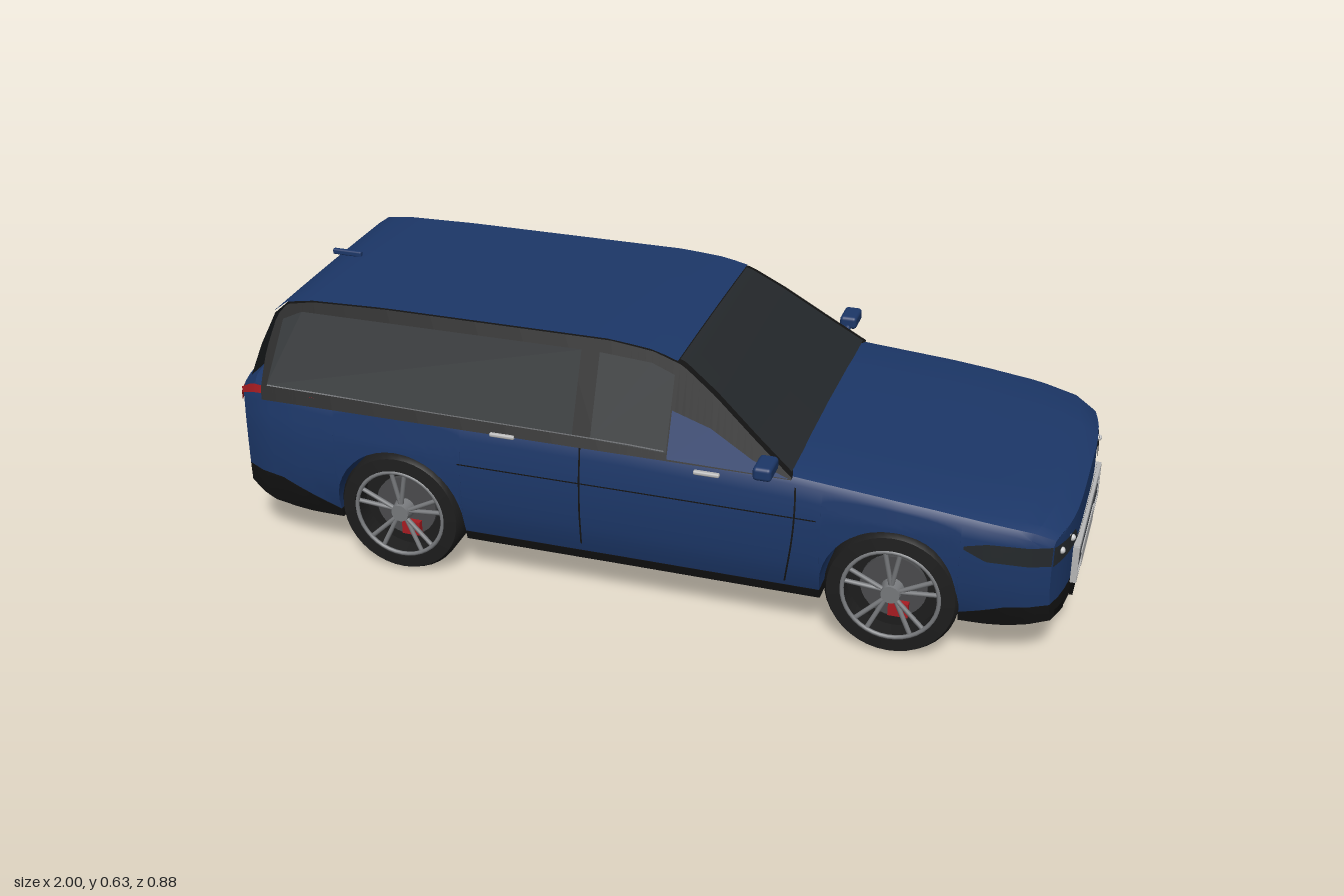
import * as THREE from 'three';
import { toCreasedNormals } from 'three/addons/utils/BufferGeometryUtils.js';
import { RoundedBoxGeometry } from 'three/addons/geometries/RoundedBoxGeometry.js';

const BLUE = 0x1c3768, BLACK = 0x131313, GLASS = 0x24282b, RUBBER = 0x1d1d1d,
  GREY = 0x77797c, SILVER = 0xb8b8b8, RED = 0xa81c22;

// piecewise linear curve through [x, value] pairs
const curve = (pts) => (x) => {
  if (x <= pts[0][0]) return pts[0][1];
  for (let i = 1; i < pts.length; i++) {
    const [a, b] = [pts[i - 1], pts[i]];
    if (x <= b[0]) return a[1] + (b[1] - a[1]) * (x - a[0]) / (b[0] - a[0]);
  }
  return pts[pts.length - 1][1];
};

// body rules along the length (nose towards +x)
const halfWidth = curve([[-0.985, 0.335], [-0.95, 0.355], [-0.85, 0.368], [-0.5, 0.376], [0, 0.376], [0.62, 0.379], [0.85, 0.37], [0.95, 0.352], [0.99, 0.33]]);
const deck = curve([[-0.985, 0.395], [-0.96, 0.422], [-0.92, 0.43], [0, 0.42], [0.1, 0.416], [0.39, 0.405], [0.6, 0.387], [0.85, 0.362], [0.95, 0.346], [0.99, 0.325]]);
const floorY = curve([[-0.985, 0.15], [-0.92, 0.112], [-0.8, 0.1], [0.9, 0.1], [0.99, 0.115]]);
const sillY = curve([[-0.985, 0.2], [-0.88, 0.19], [-0.705, 0.125], [0.78, 0.125], [0.9, 0.155], [0.99, 0.16]]);
const bulge = curve([[0.1, 0.93], [0.15, 0.975], [0.2, 0.995], [0.26, 1], [0.32, 0.995], [0.37, 0.975], [0.42, 0.955]]);
const roofY = curve([[-0.925, 0.42], [-0.905, 0.5], [-0.875, 0.58], [-0.85, 0.606], [-0.78, 0.617], [-0.6, 0.622], [-0.05, 0.622], [0.05, 0.612], [0.12, 0.592], [0.2, 0.54], [0.3, 0.465], [0.39, 0.4]]);
const cabinZ = (y) => 0.362 - (y - 0.41) * 0.42;
const sideZ = (x, y) => halfWidth(x) * bulge(y);
// round the ends in plan
const bend = (x, z) => x - Math.sign(x) * 0.05 * Math.min(1, Math.max(0, (Math.abs(x) - 0.7) / 0.28)) * (z / 0.36) ** 4;

const AXLES = [-0.545, 0.62], ARCH = 0.16, HUB = 0.15;
const lowerEdge = (x) => {
  const dx = AXLES.map((a) => Math.abs(x - a)).find((d) => d < ARCH);
  return dx === undefined ? sillY(x) : HUB + Math.sqrt(ARCH * ARCH - dx * dx);
};

const paint = (color) => new THREE.MeshStandardMaterial({ color, side: THREE.DoubleSide, roughness: 0.6 });
const add = (parent, name, geo, color, x = 0, y = 0, z = 0) => {
  const m = new THREE.Mesh(geo, paint(color));
  m.name = name;
  m.position.set(x, y, z);
  parent.add(m);
  return m;
};
const box = (w, h, d) => new THREE.BoxGeometry(w, h, d);
const rod = (a, b, r) => new THREE.TubeGeometry(new THREE.LineCurve3(new THREE.Vector3(...a), new THREE.Vector3(...b)), 1, r, 10);

// surface from fn(u, v) -> [x, y, z]
function grid(nu, nv, fn) {
  const pos = [], idx = [];
  for (let i = 0; i <= nu; i++) for (let j = 0; j <= nv; j++) pos.push(...fn(i / nu, j / nv, i, j));
  for (let i = 0; i < nu; i++) for (let j = 0; j < nv; j++) {
    const a = i * (nv + 1) + j, b = a + nv + 1;
    idx.push(a, a + 1, b, b, a + 1, b + 1);
  }
  const g = new THREE.BufferGeometry();
  g.setAttribute('position', new THREE.Float32BufferAttribute(pos, 3));
  g.setIndex(idx);
  return toCreasedNormals(g, 0.5);
}

// closed loft of mirrored half sections [[z, y], ...] along x, with curved end caps
function shell(parent, name, color, xs, section) {
  const group = new THREE.Group();
  group.name = name;
  parent.add(group);
  const rings = xs.map((x) => {
    const h = section(x);
    return [...h.map(([z, y]) => [bend(x, z), y, z]), ...h.slice(0, -1).reverse().map(([z, y]) => [bend(x, z), y, -z])];
  });
  add(group, name + 'Skin', grid(xs.length - 1, rings[0].length - 1, (u, v, i, j) => rings[i][j]), color);
  for (const x of [xs[0], xs[xs.length - 1]]) {
    const h = section(x);
    add(group, name + 'End', grid(h.length - 1, 16, (u, v, i) => {
      const z = h[i][0] * (2 * v - 1);
      return [bend(x, z), h[i][1], z];
    }), color);
  }
}
const range = (a, b, n) => Array.from({ length: n + 1 }, (_, i) => a + (b - a) * i / n);

// thin panel lying on the body side between two edge curves
const sidePanel = (parent, name, color, s, x0, x1, lo, hi, off = 0.004) =>
  add(parent, name, grid(16, 3, (u, v) => {
    const x = x0 + (x1 - x0) * u, y = lo(x) + (hi(x) - lo(x)) * v, z = sideZ(x, y);
    return [bend(x, z), y, s * (z + off)];
  }), color);
// thin panel lying on the nose (end = 0.99) or tail (end = -0.985)
const endPanel = (parent, name, color, end, z0, z1, lo, hi, off = 0.004) =>
  add(parent, name, grid(12, 2, (u, v) => {
    const z = z0 + (z1 - z0) * u;
    return [bend(end, z) + Math.sign(end) * off, lo(z) + (hi(z) - lo(z)) * v, z];
  }), color);
const flat = (c) => () => c;

function wheel(parent, x, s) {
  const g = new THREE.Group();
  g.name = 'wheel';
  g.position.set(x, HUB, s * 0.3);
  if (s < 0) g.rotation.y = Math.PI;
  parent.add(g);
  const lathe = (pts) => toCreasedNormals(new THREE.LatheGeometry(pts.map((p) => new THREE.Vector2(...p)), 40).rotateX(Math.PI / 2), 0.6);
  add(g, 'tyre', lathe([[0, -0.074], [0.142, -0.074], [0.15, -0.064], [0.15, 0.06], [0.143, 0.073], [0.113, 0.076], [0.109, 0.02], [0, 0.02]]), RUBBER);
  add(g, 'rimRing', new THREE.TorusGeometry(0.108, 0.005, 8, 40), GREY, 0, 0, 0.072);
  add(g, 'brakeDisc', new THREE.CylinderGeometry(0.075, 0.075, 0.01, 32).rotateX(Math.PI / 2), 0x4a4b4d, 0, 0, 0.03);
  add(g, 'caliper', box(0.045, 0.035, 0.022), RED, 0.015 * s, -0.05, 0.038);
  add(g, 'hub', new THREE.CylinderGeometry(0.021, 0.026, 0.03, 20).rotateX(Math.PI / 2), GREY, 0, 0, 0.058);
  for (let i = 0; i < 5; i++) for (const d of [-0.16, 0.16]) {
    const a = Math.PI / 2 + i * Math.PI * 0.4;
    add(g, 'spoke', rod([0.015 * Math.cos(a), 0.015 * Math.sin(a), 0.062], [0.107 * Math.cos(a + d), 0.107 * Math.sin(a + d), 0.068], 0.0055), GREY);
  }
}

export function createModel() {
  const car = new THREE.Group();
  car.name = 'estateCar';

  // painted body with wheel arches cut through
  const stations = [...range(-0.985, 0.99, 50)];
  for (const a of AXLES) {
    stations.push(a - ARCH - 0.0005, a + ARCH + 0.0005);
    for (const t of range(0, Math.PI, 20)) stations.push(a + (ARCH - 0.0001) * Math.cos(t));
  }
  stations.sort((a, b) => a - b);
  shell(car, 'body', BLUE, stations, (x) => {
    const low = lowerEdge(x), top = deck(x), ys = range(low, top - 0.02, 8), z = sideZ(x, top - 0.02);
    return [[0, low], ...ys.map((y) => [sideZ(x, y), y]), [z * 0.975, top - 0.006], [z * 0.9, top], [z * 0.5, top + 0.003], [0, top + 0.004]];
  });

  // black sills, bumpers and floor
  for (const [a, b] of [[-0.985, AXLES[0] - ARCH], [AXLES[0] + ARCH, AXLES[1] - ARCH], [AXLES[1] + ARCH, 0.99]])
    shell(car, 'lowerBody', BLACK, range(a, b, 16), (x) =>
      [[0, floorY(x)], ...range(floorY(x), sillY(x), 3).map((y) => [sideZ(x, y) + 0.001, y]), [0, sillY(x)]]);

  // cabin frame, then roof and glass laid on it
  const cabinXs = [...range(-0.925, -0.78, 16), ...range(-0.7, -0.05, 6), ...range(0, 0.39, 24)];
  shell(car, 'cabinFrame', BLACK, cabinXs, (x) => [[0, 0.395], [cabinZ(0.395), 0.395], [cabinZ(roofY(x)), roofY(x)], [0, roofY(x)]]);
  const topPanel = (name, color, x0, x1, inset, off) => add(car, name, grid(30, 8, (u, v) => {
    const x = x0 + (x1 - x0) * u, y = roofY(x), k = 2 * v - 1;
    return [x + Math.sign(x) * off * 0.5, y + off * (1.3 - 0.6 * k * k), k * (cabinZ(y) - inset)];
  }), color);
  topPanel('roof', BLUE, -0.872, 0.105, 0.002, 0.004);
  topPanel('windscreen', GLASS, 0.107, 0.385, 0.016, 0.003);
  topPanel('rearWindow', GLASS, -0.922, -0.878, 0.025, 0.003);
  add(car, 'roofAerial', new RoundedBoxGeometry(0.075, 0.014, 0.012, 2, 0.004), BLUE, -0.82, 0.626, 0);

  for (const s of [1, -1]) {
    // side windows and front quarter panel
    const window = (name, color, pts) => {
      const g = new THREE.ShapeGeometry(new THREE.Shape(pts.map((p) => new THREE.Vector2(...p))));
      const p = g.attributes.position;
      for (let i = 0; i < p.count; i++) p.setZ(i, s * (cabinZ(p.getY(i)) + 0.003));
      g.computeVertexNormals();
      add(car, name, g, color);
    };
    window('rearSideWindow', GLASS, [[-0.87, 0.43], [-0.115, 0.42], [-0.115, 0.597], [-0.8, 0.595], [-0.845, 0.575]]);
    window('frontSideWindow', GLASS, [[-0.072, 0.418], [0.105, 0.412], [0.105, 0.572], [0.05, 0.59], [-0.072, 0.597]]);
    window('quarterPanel', BLUE, [[0.108, 0.4], [0.385, 0.398], [0.3, 0.425], [0.2, 0.475], [0.108, 0.5]]);

    // trim lines, door gaps and handles
    const belt = (x) => deck(x) - 0.002;
    add(car, 'beltTrim', grid(12, 1, (u, v) => {
      const x = -0.87 + 0.97 * u, y = belt(x) + 0.003 * v;
      return [x, y, s * (Math.max(cabinZ(y), sideZ(x, y)) + 0.003)];
    }), GREY);
    sidePanel(car, 'sideCrease', BLACK, s, -0.39, 0.45, flat(0.308), flat(0.311));
    sidePanel(car, 'rearDoorGap', BLACK, s, -0.097, -0.093, flat(0.15), flat(0.4));
    add(car, 'frontDoorGap', grid(10, 1, (u, v) => {
      const y = 0.14 + 0.24 * u, x = 0.38 + 0.02 * Math.sin(u * 2) + 0.004 * v;
      return [x, y, s * (sideZ(x, y) + 0.004)];
    }), BLACK);
    for (const [x, y] of [[-0.28, 0.395], [0.2, 0.38]])
      add(car, 'doorHandle', new RoundedBoxGeometry(0.06, 0.01, 0.012, 2, 0.004), SILVER, x, y, s * (sideZ(x, y) + 0.004));

    // mirror
    add(car, 'mirror', new RoundedBoxGeometry(0.042, 0.032, 0.07, 3, 0.009), BLUE, 0.342, 0.436, s * 0.405);
    add(car, 'mirrorArm', rod([0.34, 0.405, s * 0.345], [0.342, 0.428, s * 0.38], 0.008), BLUE);

    // headlamps
    sidePanel(car, 'headlampSide', GLASS, s, 0.79, 0.99, curve([[0.79, 0.295], [0.85, 0.272], [0.99, 0.262]]), curve([[0.79, 0.303], [0.85, 0.314], [0.99, 0.308]]));
    endPanel(car, 'headlamp', GLASS, 0.99, s * 0.188, s * 0.332, (z) => 0.257 + 0.03 * Math.abs(Math.abs(z) - 0.2), (z) => curve([[0.188, 0.268], [0.215, 0.296], [0.332, 0.308]])(Math.abs(z)));
    for (const z of [0.24, 0.3]) add(car, 'lampBulb', new THREE.SphereGeometry(0.008, 12, 8), 0xdddddd, bend(0.99, z) + 0.004, 0.287, s * z);
    endPanel(car, 'fogLamp', 0x0a0a0a, 0.99, s * 0.27, s * 0.315, flat(0.128), flat(0.146), 0.008);

    // tail lamps wrapping the corner
    sidePanel(car, 'tailLampSide', RED, s, -0.985, -0.76, curve([[-0.985, 0.385], [-0.95, 0.4], [-0.76, 0.411]]), curve([[-0.985, 0.4], [-0.95, 0.422], [-0.76, 0.415]]), 0.006);
    endPanel(car, 'tailLamp', RED, -0.985, s * 0.17, s * 0.325, flat(0.362), flat(0.385), 0.005);
    add(car, 'tailpipe', new THREE.CylinderGeometry(0.016, 0.016, 0.05, 16, 1, true).rotateZ(Math.PI / 2), SILVER, -0.975, 0.17, s * 0.22);

    // grille frame sides
    add(car, 'grilleFrameSide', box(0.014, 0.09, 0.012), SILVER, 0.993, 0.197, s * 0.198);
    for (const x of AXLES) wheel(car, x, s);
  }

  // grille, plates and lower intake
  add(car, 'grille', box(0.012, 0.09, 0.39), BLACK, 0.988, 0.197, 0);
  add(car, 'grilleFrameTop', box(0.014, 0.005, 0.4), SILVER, 0.993, 0.241, 0);
  add(car, 'grilleFrameBottom', box(0.014, 0.005, 0.4), SILVER, 0.993, 0.154, 0);
  for (let i = 0; i < 4; i++) add(car, 'grilleBar', box(0.006, 0.004, 0.38), i === 2 ? GREY : 0x33363a, 0.995, 0.172 + i * 0.018, 0);
  add(car, 'frontPlate', box(0.006, 0.043, 0.215), SILVER, 0.997, 0.161, 0);
  add(car, 'lowerIntake', box(0.008, 0.036, 0.38), 0x0a0a0a, 0.99, 0.13, 0);
  add(car, 'rearPlate', box(0.006, 0.045, 0.2), SILVER, -0.988, 0.28, 0);
  endPanel(car, 'hoodEdge', BLACK, 0.99, -0.19, 0.19, flat(0.257), flat(0.26));
  endPanel(car, 'tailgateGap', BLACK, -0.985, -0.3, 0.3, flat(0.225), flat(0.228));

  // underside: engine sump, silencer, axles and exhaust
  add(car, 'sump', new RoundedBoxGeometry(0.09, 0.035, 0.21, 2, 0.01), GREY, 0.765, 0.068, 0.035);
  add(car, 'engineTray', new RoundedBoxGeometry(0.16, 0.02, 0.26, 2, 0.006), GREY, 0.73, 0.092, 0.02);
  add(car, 'frontPipe', rod([0.7, 0.09, -0.05], [0.78, 0.09, -0.215], 0.01), SILVER);
  add(car, 'silencer', new RoundedBoxGeometry(0.14, 0.022, 0.06, 2, 0.008), GREY, 0.1, 0.096, 0);
  for (const x of AXLES) add(car, 'axle', rod([x, HUB, -0.25], [x, HUB, 0.25], 0.014), 0x3a3b3d);
  add(car, 'exhaustPipe', rod([-0.38, 0.125, 0], [-0.71, 0.15, 0.05], 0.012), GREY);
  return car;
}
